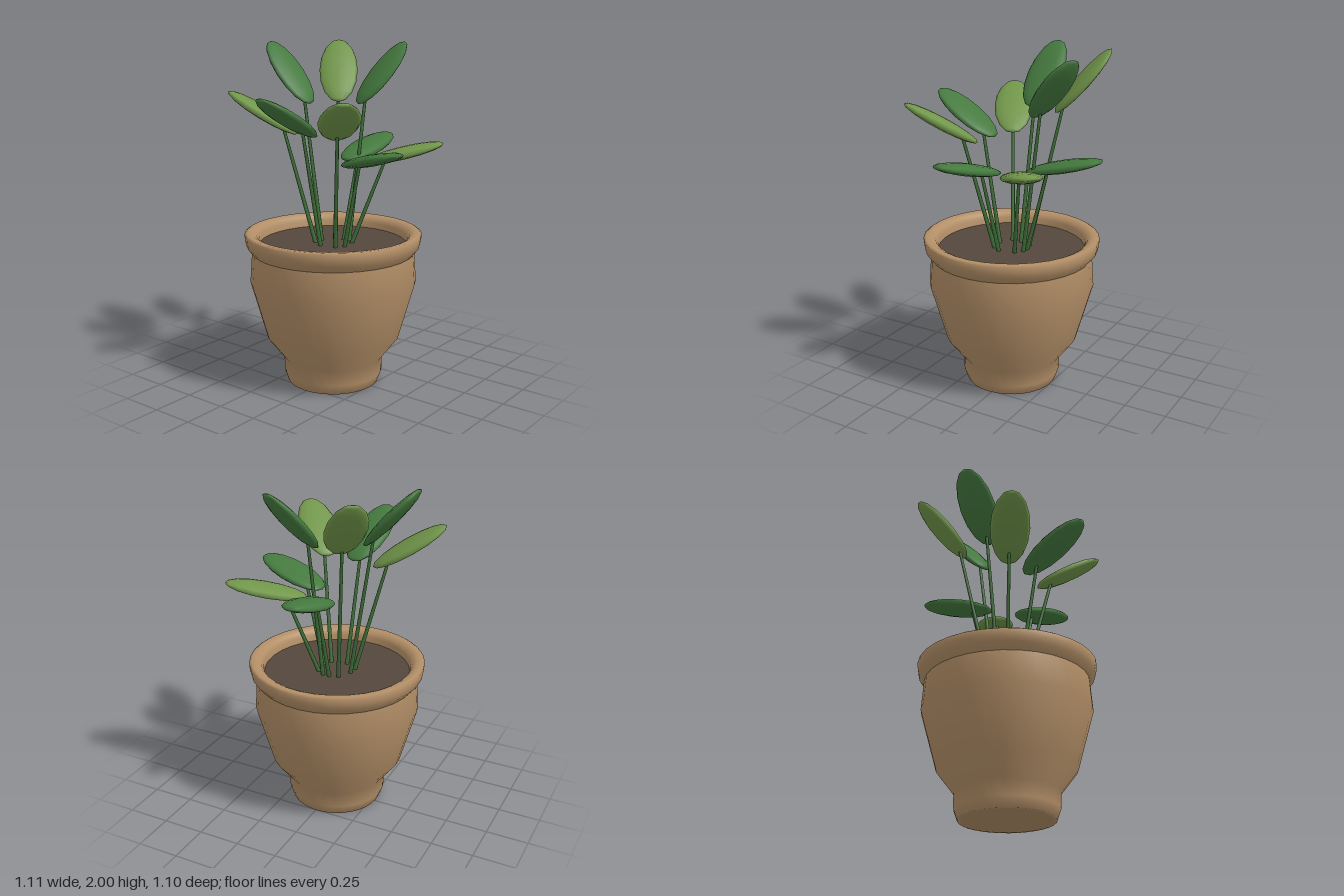
import * as THREE from 'three';

const material = (name, color) => {
  const m = new THREE.MeshStandardMaterial({ color });
  m.name = name;
  return m;
};

// Leaf tiers: height of leaf centre, upward pitch, stem joint measured from the leaf centre
const TIERS = {
  low: { y: 1.375, pitch: 0.24, joint: -0.1 },
  mid: { y: 1.6, pitch: 0.53, joint: -0.13 },
  tall: { y: 1.82, pitch: 0.84, joint: -0.16 },
};

// Each leaf: tier, centre x and z, heading x and z, stem foot x and z, light or dark
const LEAVES = [
  ['tall', 0.008, -0.35, 0.05, -1, -0.01, -0.1, false],
  ['tall', 0.318, -0.228, 0.8, -0.6, 0.065, -0.06, true],
  ['tall', 0.303, 0.1, 0.92, 0.4, 0.08, 0.03, false],
  ['mid', -0.355, -0.068, -0.99, -0.11, -0.11, -0.03, false],
  ['mid', -0.315, 0.26, -0.73, 0.68, -0.09, 0.06, true],
  ['mid', -0.215, -0.368, -0.48, -0.88, -0.065, -0.1, true],
  ['low', -0.105, 0.32, -0.25, 0.97, -0.045, 0.09, false],
  ['low', 0.228, 0.31, 0.59, 0.8, 0.045, 0.07, true],
  ['low', 0.32, -0.008, 1, -0.03, 0.08, -0.01, false],
];

export function createModel() {
  const clay = material('clay', 0xb38f67);
  const earth = material('soil', 0x54473d);
  const darkGreen = material('dark leaf green', 0x457a3f);
  const lightGreen = material('light leaf green', 0x71964a);
  const stemGreen = material('stem green', 0x3f6f38);

  const model = new THREE.Group();
  model.name = 'pottedPlant';
  const add = (parent, name, geometry, mat) => {
    const mesh = new THREE.Mesh(geometry, mat);
    mesh.name = name;
    parent.add(mesh);
    return mesh;
  };
  const lathe = (points) =>
    new THREE.LatheGeometry(points.map(([r, y]) => new THREE.Vector2(r, y)), 32);

  // Pot: footed body, flared rim and soil
  const pot = new THREE.Group();
  pot.name = 'pot';
  pot.position.set(-0.02, 0, -0.01);
  model.add(pot);
  add(pot, 'potBody', lathe([
    [0, 0], [0.25, 0], [0.272, 0], [0.293, 0.06], [0.295, 0.15],
    [0.395, 0.28], [0.49, 0.62], [0.477, 0.8],
  ]), clay);
  add(pot, 'potRim', lathe([
    [0.476, 0.795], [0.508, 0.835], [0.516, 0.87], [0.519, 0.905], [0.505, 0.914],
    [0.475, 0.912], [0.45, 0.9], [0.435, 0.875], [0.43, 0.82],
  ]), clay);
  const soil = add(pot, 'soil', new THREE.CircleGeometry(0.435, 32), earth);
  soil.rotation.x = -Math.PI / 2;
  soil.position.y = 0.84;

  // One flattened, pointed-up leaf blade shared by all leaves
  const blade = new THREE.SphereGeometry(1, 12, 8);
  blade.scale(0.116, 0.237, 0.034);
  const up = new THREE.Vector3(0, 1, 0);

  LEAVES.forEach(([tier, x, z, hx, hz, fx, fz, light], i) => {
    const { y, pitch, joint } = TIERS[tier];
    const plant = new THREE.Group();
    plant.name = `leafStalk${i + 1}`;
    model.add(plant);

    // Blade lies along its heading, tilted up by the tier's pitch
    const centre = new THREE.Vector3(x, y, z);
    const along = new THREE.Vector3(hx, 0, hz).normalize()
      .multiplyScalar(Math.cos(pitch)).addScaledVector(up, Math.sin(pitch));
    const side = along.clone().cross(up).normalize();
    const normal = side.clone().cross(along);
    const leaf = add(plant, 'leaf', blade, light ? lightGreen : darkGreen);
    leaf.quaternion.setFromRotationMatrix(new THREE.Matrix4().makeBasis(side, along, normal));
    leaf.position.copy(centre);

    // Tapered stem from the soil to the underside of the blade
    const foot = new THREE.Vector3(fx, 0.82, fz);
    const end = centre.clone().addScaledVector(along, joint);
    const span = end.clone().sub(foot);
    const stem = add(plant, 'stem',
      new THREE.CylinderGeometry(0.009, 0.013, span.length(), 8), stemGreen);
    stem.position.copy(foot).addScaledVector(span, 0.5);
    stem.quaternion.setFromUnitVectors(up, span.normalize());
  });

  return model;
}
